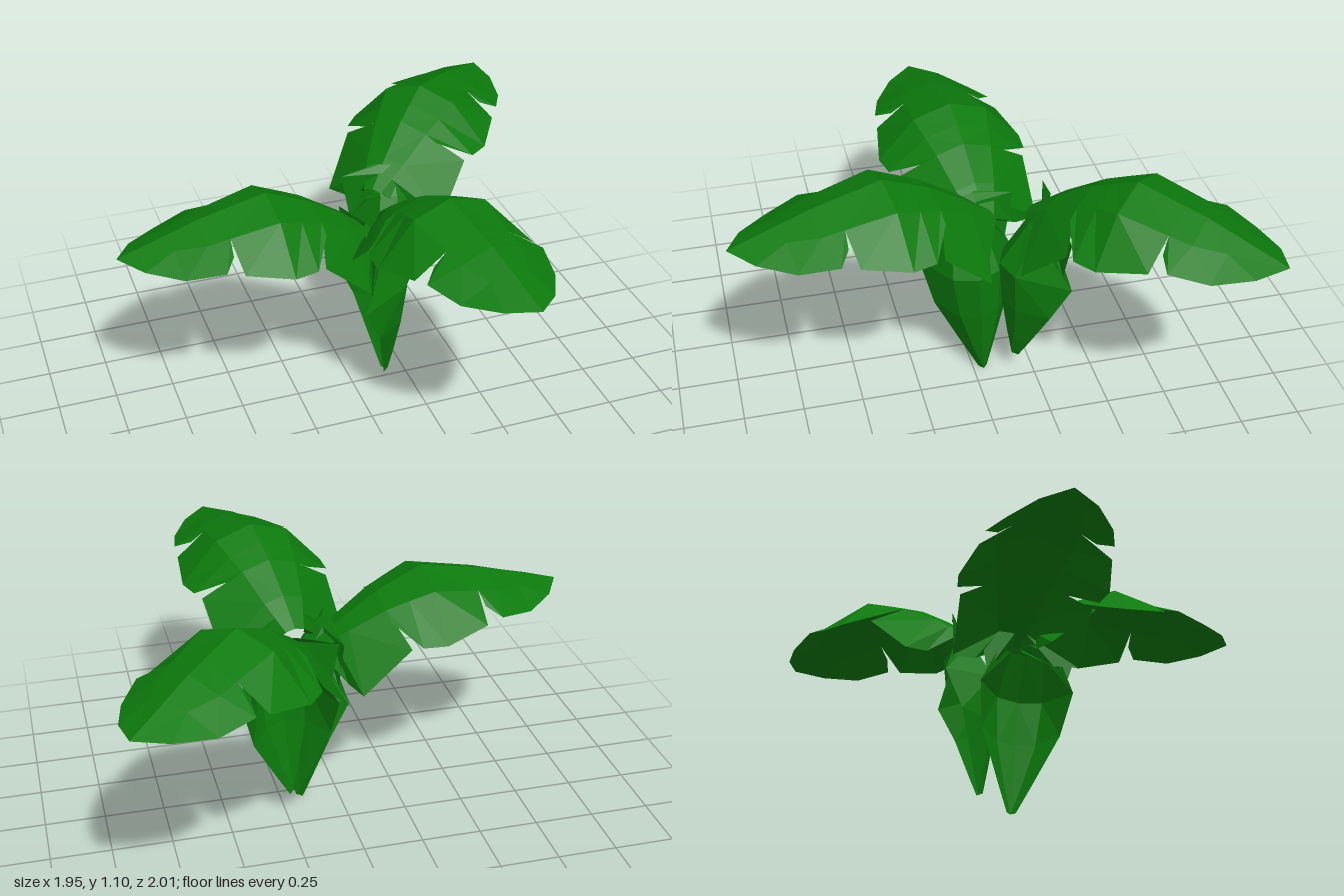
import * as THREE from 'three';

// Midrib and side crease, read along the leaf: [distance, value]
const RIB = [[0, 0], [0.14, 0.11], [0.28, 0.2], [0.46, 0.28], [0.75, 0.225], [1.08, 0.13]];
const CREASE = [[0, 0.04], [0.14, 0.09], [0.46, 0.16], [0.75, 0.13], [1.08, 0]];
const CREASE_DROP = [[0, 0.01], [0.46, 0.05], [0.75, 0.045], [1.08, 0]];

// Lobes from base to tip, parted by notches: [crease distance, edge distance, edge width, edge height]
const SPREADING = [
  [[0, 0.03, 0.05, -0.04], [0.06, 0.09, 0.17, -0.12], [0.12, 0.12, 0.27, -0.13], [0.27, 0.32, 0.28, 0.05]],
  [[0.27, 0.27, 0.17, 0.13], [0.36, 0.36, 0.3, 0.06], [0.46, 0.46, 0.315, 0.06], [0.66, 0.65, 0.27, 0.1]],
  [[0.66, 0.67, 0.2, 0.15], [0.75, 0.72, 0.26, 0.12], [0.87, 0.87, 0.21, 0.1], [1, 1, 0.115, 0.115], [1.08, 1.08, 0, 0.13]],
];
const HANGING = [
  [[0.1, 0.1, 0.1, 0.05], [0.14, 0.16, 0.36, 0.03], [0.2, 0.4, 0.28, 0.02], [0.24, 0.28, 0.2, 0.08]],
  [[0.24, 0.24, 0.2, 0.06], [0.46, 0.47, 0.32, -0.03], [0.7, 0.68, 0.27, 0.04], [0.92, 0.95, 0.11, 0.08], [1.08, 1.08, 0.03, 0.1]],
];

function sample(table, t) {
  for (let i = 1; i < table.length; i++) {
    const [a, va] = table[i - 1], [b, vb] = table[i];
    if (t <= b) return va + (vb - va) * (t - a) / (b - a);
  }
  return table[table.length - 1][1];
}

// Leaf along +z, arching up +y, mirrored about x = 0
function leafGeometry(lobes) {
  const pos = [];
  const quad = (a, b, c, d, side) => {
    const order = side > 0 ? [a, b, c, a, c, d] : [a, c, b, a, d, c];
    for (const p of order) pos.push(...p);
  };
  for (const side of [1, -1]) {
    for (const lobe of lobes) {
      const rows = lobe.map(([t, et, w, h]) => [
        [0, sample(RIB, t), t],
        [side * sample(CREASE, t), sample(RIB, t) - sample(CREASE_DROP, t), t],
        [side * w, h, et],
      ]);
      for (let i = 1; i < rows.length; i++) {
        for (let j = 0; j < 2; j++) {
          quad(rows[i - 1][j], rows[i][j], rows[i][j + 1], rows[i - 1][j + 1], side);
        }
      }
    }
  }
  const geo = new THREE.BufferGeometry();
  geo.setAttribute('position', new THREE.Float32BufferAttribute(pos, 3));
  geo.computeVertexNormals();
  return geo;
}

export function createModel() {
  const group = new THREE.Group();
  group.name = 'leafyPlant';
  const green = new THREE.MeshStandardMaterial({ color: 0x0c7a0c, flatShading: true, side: THREE.DoubleSide });
  const spreading = leafGeometry(SPREADING);
  const hanging = leafGeometry(HANGING);

  // Place a leaf by its base, growing direction and the side its back bulges to
  const addLeaf = (name, geo, base, along, bulge, width = 1, size = 1) => {
    const z = new THREE.Vector3(...along).normalize();
    const x = new THREE.Vector3(...bulge).cross(z).normalize();
    const y = z.clone().cross(x);
    const leaf = new THREE.Mesh(geo, green);
    leaf.name = name;
    leaf.quaternion.setFromRotationMatrix(new THREE.Matrix4().makeBasis(x, y, z));
    leaf.position.set(...base);
    leaf.scale.set(width * size, size, size);
    group.add(leaf);
  };

  // Three spreading leaves
  addLeaf('rightLeaf', spreading, [0.1, 0.74, -0.06], [-1.08, 0, 0.09], [0, 1, 0]);
  addLeaf('frontLeaf', spreading, [0.18, 0.82, -0.07], [0.19, 0, 1.07], [0, 1, 0]);
  addLeaf('backLeaf', spreading, [0.17, 0.82, -0.23], [0.8, 0, -0.77], [0, 1, 0], 1, 1.01);

  // Two folded leaves hanging from the centre
  addLeaf('hangingSideLeaf', hanging, [-0.03, 0.9, 0.03], [0.11, -0.99, -0.08], [1, 0.11, 0], 0.72, 0.85);
  addLeaf('hangingRearLeaf', hanging, [0.28, 0.97, -0.35], [-0.07, -0.99, 0.1], [0, 0.1, 1], 0.72, 0.82);
  return group;
}
